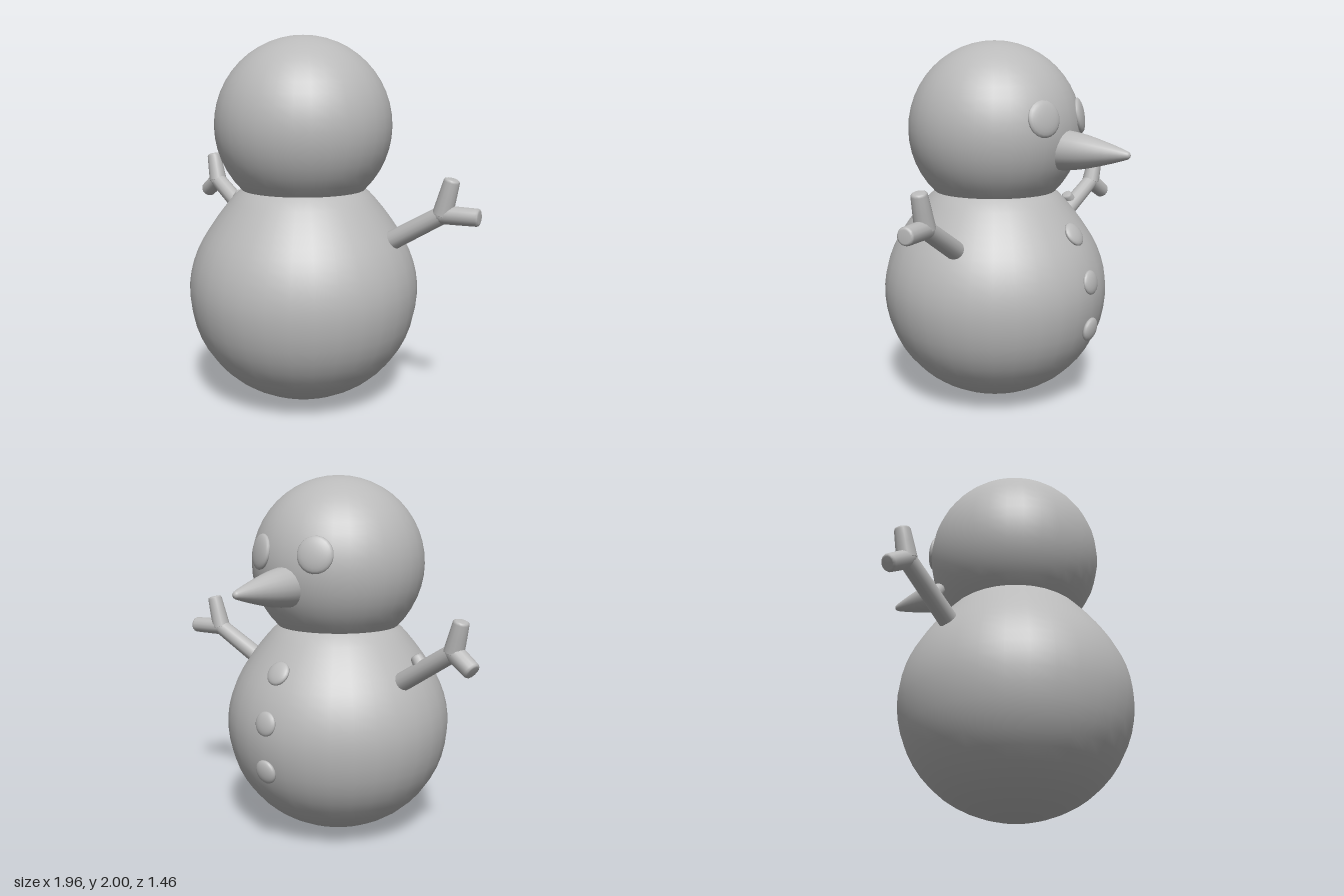
import * as THREE from 'three';

const V = (x, y, z) => new THREE.Vector3(x, y, z);

export function createModel() {
  const model = new THREE.Group();
  model.name = 'snowman';
  const snow = new THREE.MeshStandardMaterial({ color: 0xbababa });
  snow.name = 'plain grey';

  const add = (parent, name, geometry) => {
    const mesh = new THREE.Mesh(geometry, snow);
    mesh.name = name;
    parent.add(mesh);
    return mesh;
  };
  // Smooth turned shape from [radius, height] pairs
  const turned = (points, sides) => new THREE.LatheGeometry(
    new THREE.SplineCurve(points.map(([r, y]) => new THREE.Vector2(r, y)))
      .getPoints(points.length * 2).map(p => p.setX(Math.max(p.x, 0))), sides);
  const aim = (mesh, direction) =>
    mesh.quaternion.setFromUnitVectors(V(0, 1, 0), direction.clone().normalize());

  // Egg-shaped body and round head, both set slightly back
  add(model, 'body', turned([
    [0, 0.005], [0.14, 0.022], [0.29, 0.075], [0.42, 0.16], [0.53, 0.285], [0.60, 0.43],
    [0.63, 0.59], [0.62, 0.73], [0.577, 0.86], [0.51, 0.975], [0.42, 1.095], [0.33, 1.185],
    [0.18, 1.26], [0, 1.29],
  ], 32)).position.z = 0.1;
  const headCentre = V(0, 1.52, 0.1);
  add(model, 'head', new THREE.SphereGeometry(0.48, 32, 24)).position.copy(headCentre);

  // Carrot nose with a blunt tip
  const nose = add(model, 'nose', turned([
    [0.112, 0], [0.107, 0.06], [0.094, 0.15], [0.073, 0.24], [0.045, 0.34],
    [0.024, 0.405], [0.014, 0.424], [0, 0.43],
  ], 20));
  nose.position.set(0, 1.428, -0.3);
  aim(nose, V(0, -0.008, -0.43));

  // Flattened pebbles lying on the surface along a normal
  const pebble = (name, position, normal, radius, thickness) => {
    const mesh = add(model, name, new THREE.SphereGeometry(1, 20, 12));
    mesh.scale.set(radius, thickness, radius);
    mesh.position.copy(position);
    aim(mesh, normal);
  };
  for (const [name, side] of [['leftEye', 1], ['rightEye', -1]]) {
    const normal = V(side * 0.185, 0.08, -0.435).normalize();
    pebble(name, headCentre.clone().addScaledVector(normal, 0.475), normal, 0.097, 0.028);
  }
  pebble('topButton', V(0, 0.98, -0.413), V(0, 0.56, -0.83), 0.068, 0.024);
  pebble('middleButton', V(0, 0.73, -0.517), V(0, 0.18, -1), 0.066, 0.024);
  pebble('bottomButton', V(0, 0.47, -0.52), V(0, -0.16, -1), 0.066, 0.026);

  // Twig between two points, with a softened flat end
  const twig = (parent, name, a, b, r0, r1) => {
    const d = b.clone().sub(a), h = d.length();
    const profile = [[0, 0], [r0, 0], [r0, 0.001], [(r0 + r1) / 2, h * 0.5], [r1, h - 0.014],
      [r1 * 0.9, h - 0.004], [r1 * 0.7, h], [0, h]].map(p => new THREE.Vector2(...p));
    const mesh = add(parent, name, new THREE.LatheGeometry(profile, 14));
    mesh.position.copy(a);
    aim(mesh, d);
  };
  // Forked arm: stem, joint and two prongs
  const arm = (name, root, fork, upper, outer) => {
    const group = new THREE.Group();
    group.name = name;
    model.add(group);
    twig(group, 'stem', root, fork, 0.051, 0.047);
    add(group, 'joint', new THREE.SphereGeometry(0.05, 14, 10)).position.copy(fork);
    twig(group, 'upperProng', fork, upper, 0.053, 0.042);
    twig(group, 'outerProng', fork, outer, 0.049, 0.046);
    return group;
  };
  arm('leftArm', V(0.51, 0.935, -0.008), V(0.79, 1.1, -0.045),
    V(0.838, 1.283, -0.05), V(0.98, 1.1, -0.08));
  const rightArm = arm('rightArm', V(-0.51, 0.935, -0.015), V(-0.835, 1.14, -0.06),
    V(-0.878, 1.3, -0.07), V(-0.957, 1.06, -0.085));
  twig(rightArm, 'knot', V(-0.65, 1.015, -0.03), V(-0.593, 1.085, -0.02), 0.04, 0.033);

  return model;
}
